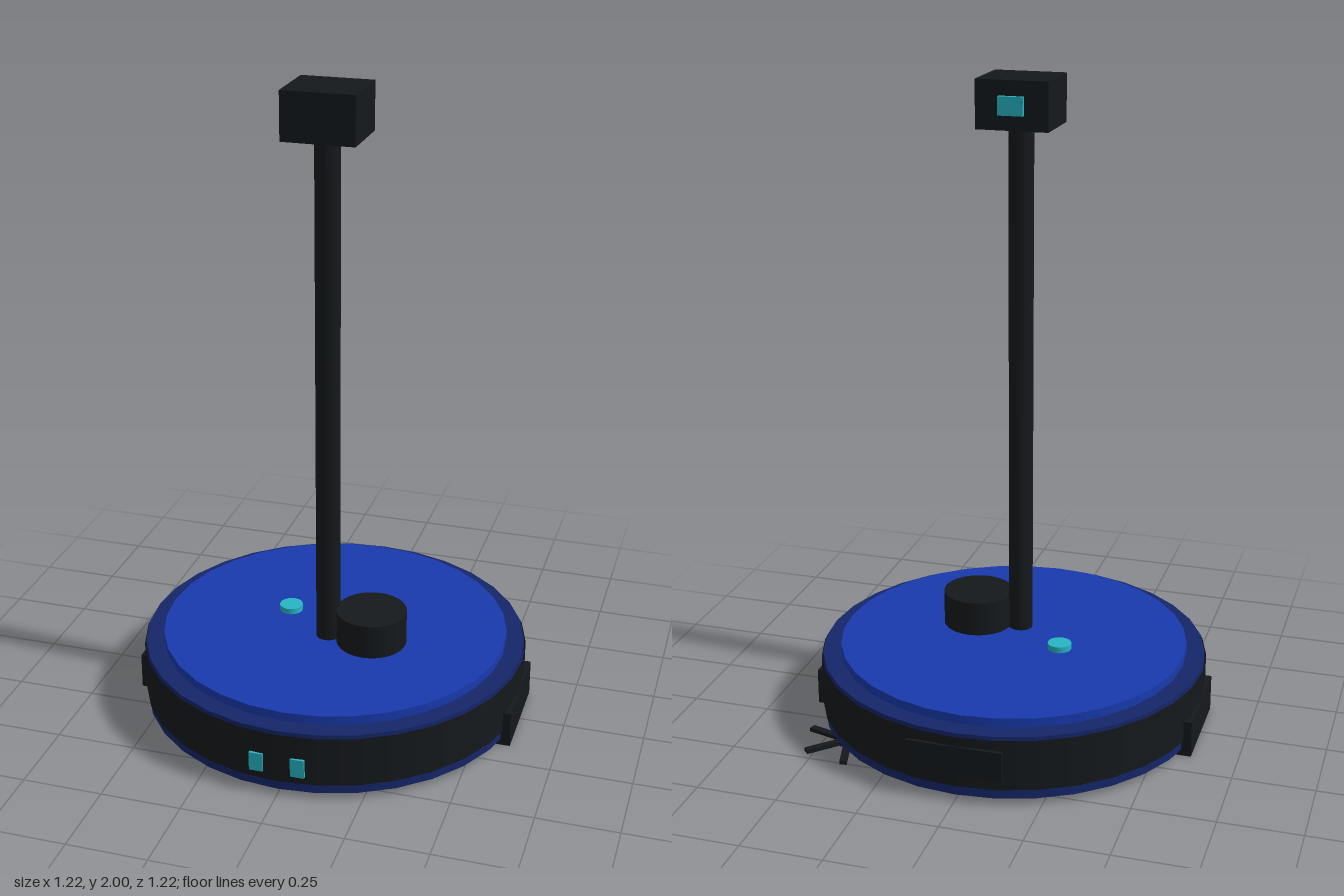
import * as THREE from 'three';

const paint = (color, extra = {}) => new THREE.MeshStandardMaterial({ color, ...extra });

export function createModel() {
  const model = new THREE.Group();
  model.name = 'robotVacuum';
  const black = paint(0x15191c);
  const rubber = paint(0x15191c, { side: THREE.DoubleSide });
  const navy = paint(0x15266a);
  const blue = paint(0x183aae);
  const cyan = paint(0x27b5c4);

  const add = (name, geometry, material, parent = model) => {
    const mesh = new THREE.Mesh(geometry, material);
    mesh.name = name;
    parent.add(mesh);
    return mesh;
  };
  // Upright cylinder between two heights
  const disc = (name, r, y0, y1, x, z, material, sides = 32, open = false) => {
    const mesh = add(name, new THREE.CylinderGeometry(r, r, y1 - y0, sides, 1, open), material);
    mesh.position.set(x, (y0 + y1) / 2, z);
    return mesh;
  };
  // Box given by its extents on each axis
  const block = (name, [x0, x1], [y0, y1], [z0, z1], material) => {
    const mesh = add(name, new THREE.BoxGeometry(x1 - x0, y1 - y0, z1 - z0), material);
    mesh.position.set((x0 + x1) / 2, (y0 + y1) / 2, (z0 + z1) / 2);
    return mesh;
  };

  // Round body: shell, lid, underside and bumper band
  disc('body', 0.603, 0.02, 0.22, 0, 0, navy);
  disc('lid', 0.546, 0.22, 0.248, 0, 0, blue);
  disc('underside', 0.595, 0.015, 0.021, 0, 0, black);
  disc('bumper', 0.608, 0.05, 0.21, 0, 0, rubber, 32, true);

  // Items on the lid
  disc('sensorTurret', 0.11, 0.248, 0.358, 0.14, 0.073, black);
  disc('button', 0.037, 0.248, 0.267, -0.162, -0.045, cyan, 24);

  // Mast with camera head; its screen faces the rear
  disc('mast', 0.038, 0.248, 1.86, 0, 0.077, black, 16);
  block('head', [-0.11, 0.11], [1.855, 2], [-0.025, 0.175], black);
  block('screen', [-0.038, 0.038], [1.9, 1.955], [-0.04, -0.024], cyan);

  // Wheels and front lights, mirrored
  for (const [side, s] of [['left', 1], ['right', -1]]) {
    const wheel = block(side + 'Wheel', [0.545, 0.609], [0, 0.115], [-0.16, 0.16], black);
    wheel.position.x *= s;
    const light = block(side + 'Light', [0.042, 0.085], [0.075, 0.135], [0.585, 0.609], cyan);
    light.position.x *= s;
  }

  // Charging plate at the rear
  block('chargingPlate', [-0.145, 0.145], [0.09, 0.18], [-0.611, -0.6], black);

  // Side brush: six spokes around a hub
  const brush = new THREE.Group();
  brush.name = 'sideBrush';
  brush.position.set(0.418, 0.014, -0.384);
  model.add(brush);
  add('brushHub', new THREE.CylinderGeometry(0.035, 0.035, 0.014, 16), black, brush);
  for (let i = 0; i < 3; i++) {
    const spoke = add('brushSpokes', new THREE.BoxGeometry(0.28, 0.012, 0.022), black, brush);
    spoke.rotation.y = Math.PI / 4 + (i * Math.PI) / 3;
  }

  return model;
}
